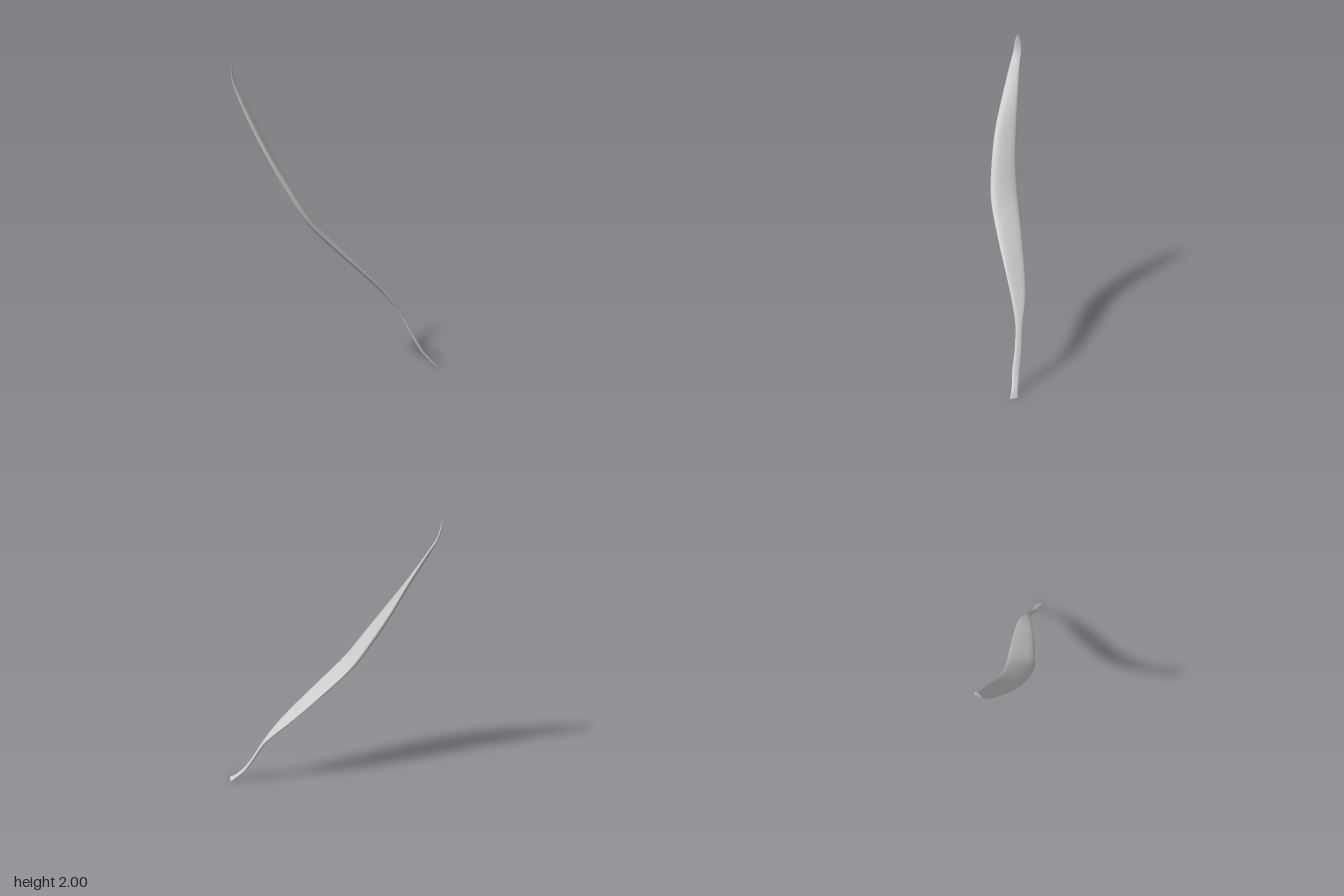
import * as THREE from 'three';

// Level cross-sections from stem to tip:
// [y, centre x, half lean in x, front edge z, back edge z, thickness in x]
const SECTIONS = [
  [0.004, 0.592, 0.005, 0.356, 0.308, 0],
  [0.05, 0.549, 0.006, 0.318, 0.28, 0.014],
  [0.12, 0.495, 0.008, 0.284, 0.242, 0.02],
  [0.24, 0.438, 0.008, 0.235, 0.196, 0.024],
  [0.37, 0.376, 0.007, 0.198, 0.155, 0.027],
  [0.48, 0.303, 0.01, 0.18, 0.098, 0.03],
  [0.6, 0.195, 0.009, 0.16, 0.04, 0.032],
  [0.8, -0.003, 0.018, 0.12, -0.038, 0.05],
  [1.0, -0.188, 0.025, 0.07, -0.105, 0.06],
  [1.2, -0.305, 0.024, 0.003, -0.155, 0.06],
  [1.4, -0.4, 0.029, -0.076, -0.208, 0.048],
  [1.6, -0.478, 0.031, -0.172, -0.259, 0.04],
  [1.8, -0.55, 0.023, -0.266, -0.317, 0.028],
  [1.9, -0.579, 0.015, -0.308, -0.35, 0.016],
  [1.96, -0.587, 0.01, -0.32, -0.352, 0.01],
  [2.0, -0.59, 0.001, -0.332, -0.338, 0],
];
const ROWS = 64, SIDES = 24;

const curveOf = (pick) => new THREE.CatmullRomCurve3(SECTIONS.map((s) => new THREE.Vector3(...pick(s))));
// Power below 1 squares the oval off, flattening the two broad faces
const soften = (c) => Math.sign(c) * Math.abs(c) ** 0.8;

// Oval sections lofted along the blade
function bladeGeometry() {
  const front = curveOf((s) => [s[1] - s[2], s[0], s[3]]);
  const back = curveOf((s) => [s[1] + s[2], s[0], s[4]]);
  const face = curveOf((s) => [s[1] + s[5] / 2, s[0], (s[3] + s[4]) / 2]);
  const pos = [], index = [];
  for (let i = 0; i <= ROWS; i++) {
    const [a, b, f] = [front, back, face].map((c) => c.getPoint(i / ROWS));
    const mid = a.clone().add(b).multiplyScalar(0.5);
    const across = b.sub(mid), out = f.sub(mid);
    for (let j = 0; j < SIDES; j++) {
      const t = (j / SIDES) * Math.PI * 2;
      const p = mid.clone()
        .addScaledVector(across, soften(Math.cos(t)))
        .addScaledVector(out, soften(Math.sin(t)));
      pos.push(p.x, p.y, p.z);
      if (i < ROWS) {
        const n = i * SIDES + j, n1 = i * SIDES + ((j + 1) % SIDES);
        index.push(n, n + SIDES, n1, n1, n + SIDES, n1 + SIDES);
      }
    }
  }
  const geo = new THREE.BufferGeometry();
  geo.setAttribute('position', new THREE.Float32BufferAttribute(pos, 3));
  geo.setIndex(index);
  geo.computeVertexNormals();
  return geo;
}

export function createModel() {
  const group = new THREE.Group();
  group.name = 'curvedLeaf';
  const blade = new THREE.Mesh(bladeGeometry(), new THREE.MeshStandardMaterial({ color: 0xcccccc }));
  blade.name = 'leafBlade';
  group.add(blade);
  return group;
}
